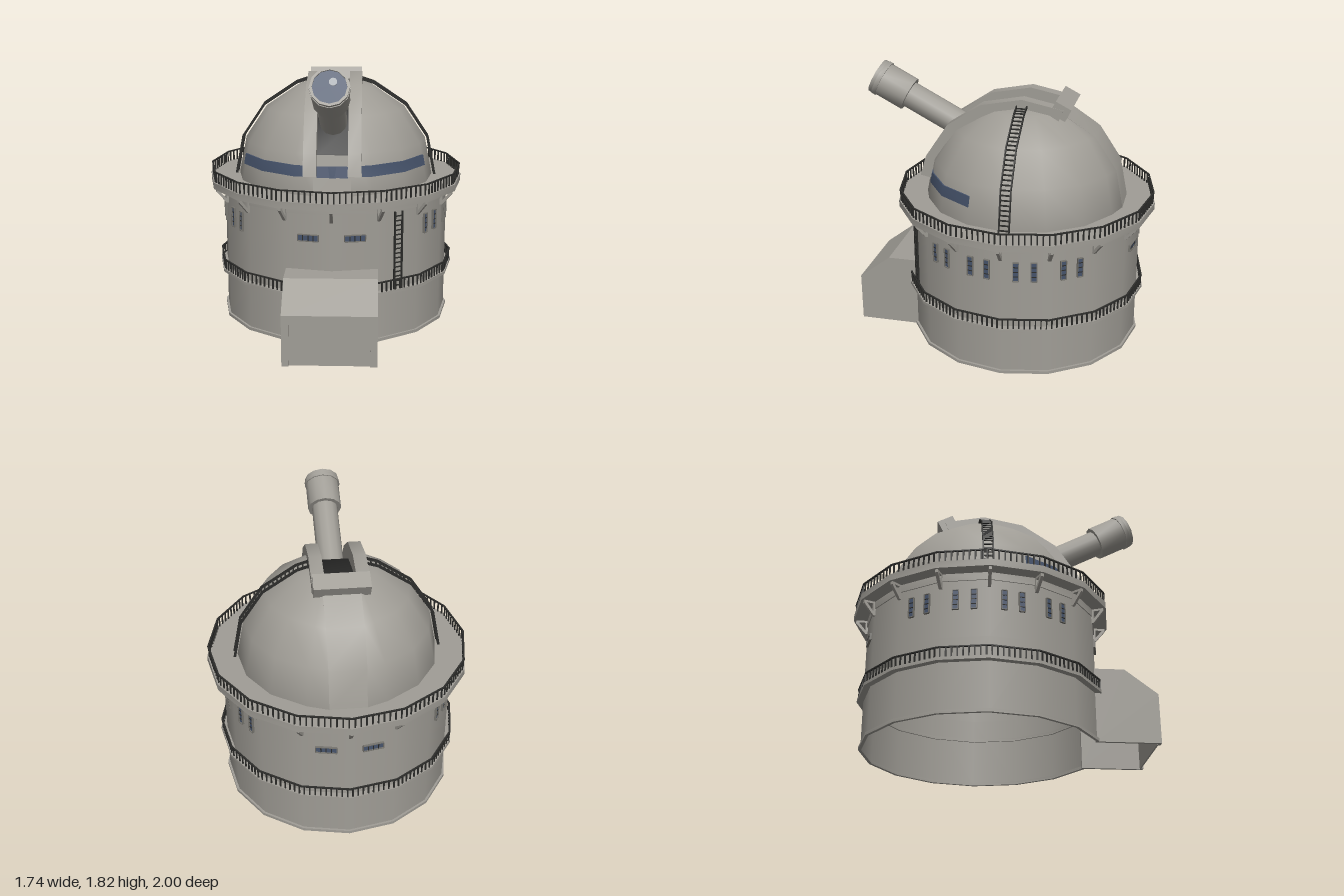
import * as THREE from 'three';
import { mergeGeometries, toCreasedNormals } from 'three/addons/utils/BufferGeometryUtils.js';

const SIDES = 16, STEP = Math.PI * 2 / SIDES, DEG = Math.PI / 180;
const DOME_R = 0.67, DOME_Y = 0.96, WALL_R = 0.775;
const FACE_R = WALL_R * Math.cos(STEP / 2);

const mat = (name, color, side = THREE.FrontSide) => {
  const m = new THREE.MeshStandardMaterial({ color, side });
  m.name = name;
  return m;
};

export function createModel() {
  const concrete = mat('concrete', 0xa09d96, THREE.DoubleSide);
  const frameGrey = mat('frame grey', 0x77756f);
  const iron = mat('dark iron', 0x2c2c2a);
  const shadowBlack = mat('slot black', 0x262625, THREE.DoubleSide);
  const glass = mat('blue glass', 0x46536b, THREE.DoubleSide);
  const glint = mat('lens glint', 0xa9adb2);

  const model = new THREE.Group();
  model.name = 'observatory';
  const tower = new THREE.Group();
  tower.name = 'tower';
  tower.position.z = -0.13;
  model.add(tower);

  const add = (name, geo, material, parent = tower) => {
    const m = new THREE.Mesh(geo, material);
    m.name = name;
    parent.add(m);
    return m;
  };
  const box = (w, h, d, x, y, z) => new THREE.BoxGeometry(w, h, d).translate(x, y, z);
  const shapeOf = pts => new THREE.Shape(pts.map(p => new THREE.Vector2(...p)));

  // Ring with a rectangular section, optionally only part of a turn
  const ring = (r0, r1, y0, y1, start = 0, length = Math.PI * 2, sides = SIDES) => {
    const pts = [[r0, y0], [r1, y0], [r1, y1], [r0, y1], [r0, y0]].map(p => new THREE.Vector2(...p));
    return toCreasedNormals(new THREE.LatheGeometry(pts, sides, start, length), 0.6);
  };
  // Side profile of [z, y] points extruded across x, centred on x
  const across = (pts, width, x = 0) => toCreasedNormals(
    new THREE.ExtrudeGeometry(shapeOf(pts), { depth: width, bevelEnabled: false })
      .rotateY(-Math.PI / 2).translate(x + width / 2, 0, 0), 0.6);
  // Curved bar following the dome, angles in degrees from the front horizon
  const arcBar = (r0, r1, a0, a1, width, x = 0) => {
    const angles = [a0];
    for (let a = 0; a < 180; a += 22.5) if (a > a0 + 0.1 && a < a1 - 0.1) angles.push(a);
    angles.push(a1);
    const at = r => a => [r * Math.cos(a * DEG), r * Math.sin(a * DEG) + DOME_Y];
    return across([...angles.map(at(r1)), ...angles.reverse().map(at(r0))], width, x);
  };

  // Tower walls, open at the entrance and below
  add('lowerWall', new THREE.CylinderGeometry(WALL_R, WALL_R, 0.485, SIDES - 2, 1, true, STEP, STEP * 14)
    .translate(0, 0.2425, 0), concrete);
  add('upperWall', new THREE.CylinderGeometry(WALL_R, WALL_R, 0.435, SIDES, 1, true)
    .translate(0, 0.7025, 0), concrete);
  add('plinth', ring(0.77, 0.79, 0, 0.02, STEP, STEP * 14, 14), concrete);
  add('lowerWalkway', ring(0.765, 0.817, 0.325, 0.345), concrete);
  add('cornice', ring(0.77, 0.782, 0.865, 0.915), concrete);
  add('upperWalkway', toCreasedNormals(new THREE.CylinderGeometry(0.872, 0.872, 0.045, SIDES)
    .translate(0, 0.9375, 0), 0.6), concrete);

  // Railings: balusters spaced along each straight side, with a handrail
  const railing = (name, r, y0, y1) => {
    const parts = [], side = 2 * r * Math.sin(STEP / 2), n = 9;
    for (let k = 0; k < SIDES; k++) for (let i = 0; i < n; i++) {
      parts.push(box(0.009, y1 - y0, 0.008, ((i + 0.5) / n - 0.5) * side, (y0 + y1) / 2, r * Math.cos(STEP / 2))
        .rotateY((k + 0.5) * STEP));
    }
    add(name + 'Balusters', mergeGeometries(parts), iron);
    add(name + 'Handrail', ring(r - 0.006, r + 0.006, y1 - 0.008, y1), iron);
  };
  railing('lowerRailing', 0.808, 0.345, 0.415);
  railing('upperRailing', 0.861, 0.96, 1.035);

  // Brackets under the upper walkway
  const bracket = shapeOf([[0.77, 0.915], [0.855, 0.915], [0.855, 0.895], [0.787, 0.815], [0.77, 0.815]]);
  bracket.holes.push(new THREE.Path([[0.79, 0.9], [0.79, 0.845], [0.835, 0.9]].map(p => new THREE.Vector2(...p))));
  const bracketGeo = new THREE.ExtrudeGeometry(bracket, { depth: 0.02, bevelEnabled: false }).translate(0, 0, -0.01);
  for (let k = 0; k < SIDES; k++) add('bracket', bracketGeo, concrete).rotation.y = k * STEP;

  // Windows: frame, glass and glazing bars on one flat side of the wall
  const addWindow = (azimuth, x, y, w, h) => {
    const g = new THREE.Group();
    g.name = 'window';
    g.rotation.y = azimuth;
    g.position.y = y;
    tower.add(g);
    const f = 0.005, z = FACE_R;
    add('windowFrame', mergeGeometries([
      box(w, f, 0.03, x, h / 2, z), box(w, f, 0.03, x, -h / 2, z),
      box(f, h, 0.03, x - w / 2, 0, z), box(f, h, 0.03, x + w / 2, 0, z)]), frameGrey, g);
    add('windowGlass', box(w, h, 0.008, x, 0, z + 0.003), glass, g);
    const bars = [];
    for (let i = 1; i < 4; i++) bars.push(w > h
      ? box(0.006, h, 0.006, x + (i / 4 - 0.5) * w, 0, z + 0.008)
      : box(w, 0.005, 0.006, x, (i / 4 - 0.5) * h, z + 0.008));
    add('glazingBars', mergeGeometries(bars), iron, g);
  };
  for (const s of [-0.5, 0.5]) {
    addWindow(s * STEP, 0, 0.708, 0.135, 0.042);
    addWindow(Math.PI + s * STEP, 0, 0.708, 0.135, 0.042);
  }
  for (const side of [-1, 1]) for (const k of [-1.5, -0.5, 0.5, 1.5]) for (const x of [-0.057, 0.057]) {
    addWindow(side * Math.PI / 2 + k * STEP, x, 0.735, 0.037, 0.13);
  }

  // Wall ladder
  const rungs = [-0.028, 0.028].map(x => box(0.009, 0.52, 0.012, x, 0.605, 0.79));
  for (let i = 0; i < 16; i++) rungs.push(box(0.056, 0.007, 0.008, 0, 0.37 + i * 0.031, 0.79));
  add('wallLadder', mergeGeometries(rungs), iron).rotation.y = 1.45 * STEP;

  // Dome halves, pushed apart to leave a slot
  const half = new THREE.SphereGeometry(DOME_R, 8, 4, Math.PI / 2, Math.PI, 0, Math.PI / 2);
  const p = half.attributes.position;
  for (let i = 0; i < p.count; i++) p.setX(i, Math.max(p.getX(i), 0.12));
  half.translate(0, DOME_Y, 0);
  add('domeLeft', half, concrete);
  add('domeRight', half.clone().rotateY(Math.PI).translate(0, 0, 0), concrete);
  add('domeFrontStrip', arcBar(0.59, DOME_R, 0, 22.5, 0.24), concrete);
  add('domeBackStrip', arcBar(0.59, DOME_R, 112.5, 180, 0.24), concrete);
  add('slotInterior', arcBar(0.55, 0.6, 20, 115, 0.22), shadowBlack);
  add('slotSill', arcBar(0.59, 0.668, 22.5, 23, 0.2), shadowBlack);
  for (const s of [-1, 1]) add('slotRail', arcBar(0.57, 0.71, 10.8, 112.5, 0.084, s * 0.142), concrete);

  // Hood at the top of the slot
  const hood = add('slotHood', new THREE.BoxGeometry(0.36, 0.09, 0.115), concrete);
  hood.position.set(0, 1.607, -0.252);
  hood.rotation.x = 27 * DEG * -1;

  // Window band round the front of the dome
  const band = [[0.651, 1.075], [0.659, 1.075], [0.645, 1.145], [0.637, 1.145], [0.651, 1.075]];
  add('domeWindowBand', toCreasedNormals(new THREE.LatheGeometry(
    band.map(q => new THREE.Vector2(...q)), 6, -3 * STEP, 6 * STEP), 0.6), glass);
  add('domeWindowCentre', arcBar(0.65, 0.666, 10, 16.3, 0.2), glass);

  // Ladders up both sides of the dome
  for (const s of [-1, 1]) {
    const g = new THREE.Group();
    g.name = 'domeLadder';
    g.rotation.y = s * Math.PI / 2;
    tower.add(g);
    for (const x of [-0.033, 0.033]) add('ladderRail', arcBar(0.68, 0.697, 0, 76, 0.008, x), iron, g);
    const steps = [];
    for (let i = 0; i < 28; i++) {
      const a = (1 + i * 2.7) * DEG;
      // Rungs sit on the straight chords between rail corners
      const r = 0.688 * Math.cos(STEP / 2) / Math.cos((a % STEP) - STEP / 2);
      steps.push(box(0.066, 0.008, 0.01, 0, r * Math.sin(a) + DOME_Y, r * Math.cos(a)));
    }
    add('ladderRungs', mergeGeometries(steps), iron, g);
  }

  // Telescope, built along y with its open end at the origin
  const scope = new THREE.Group();
  scope.name = 'telescope';
  scope.position.set(0, 1.716, 0.909);
  scope.rotation.x = 62.4 * DEG;
  model.add(scope);
  const N = 12, full = Math.PI * 2;
  add('tube', new THREE.CylinderGeometry(0.09, 0.09, 0.62, N, 1, true).translate(0, -0.55, 0), concrete, scope);
  add('barrel', ring(0.08, 0.117, -0.254, -0.02, 0, full, N), concrete, scope);
  add('barrelCollar', ring(0.1, 0.124, -0.055, -0.025, 0, full, N), concrete, scope);
  add('barrelLip', ring(0.104, 0.12, -0.03, 0, 0, full, N), concrete, scope);
  add('lens', new THREE.CylinderGeometry(0.106, 0.106, 0.008, N).translate(0, -0.014, 0), glass, scope);
  add('lensGlint', new THREE.CylinderGeometry(0.025, 0.025, 0.004, 10).translate(0.02, -0.008, -0.032), glint, scope);

  // Entrance building, hollow and open below
  const shed = new THREE.Group();
  shed.name = 'entrance';
  model.add(shed);
  const outline = [[0.58, 0], [1, 0], [1, 0.33], [0.785, 0.495], [0.58, 0.495]];
  for (const s of [-1, 1]) add('entranceSide', across(outline, 0.02, s * 0.285), concrete, shed);
  add('entranceRoof', across([[1, 0.33], [0.785, 0.495], [0.58, 0.495], [0.58, 0.475], [0.78, 0.475], [0.98, 0.32], [1, 0.32]],
    0.55), concrete, shed);
  const front = shapeOf([[-0.275, 0], [-0.25, 0], [-0.25, 0.27], [0.25, 0.27], [0.25, 0], [0.275, 0], [0.275, 0.33], [-0.275, 0.33]]);
  add('entranceFront', new THREE.ExtrudeGeometry(front, { depth: 0.02, bevelEnabled: false }).translate(0, 0, 0.98), concrete, shed);
  add('entranceDoor', box(0.52, 0.28, 0.01, 0, 0.14, 0.98), concrete, shed);

  return model;
}
